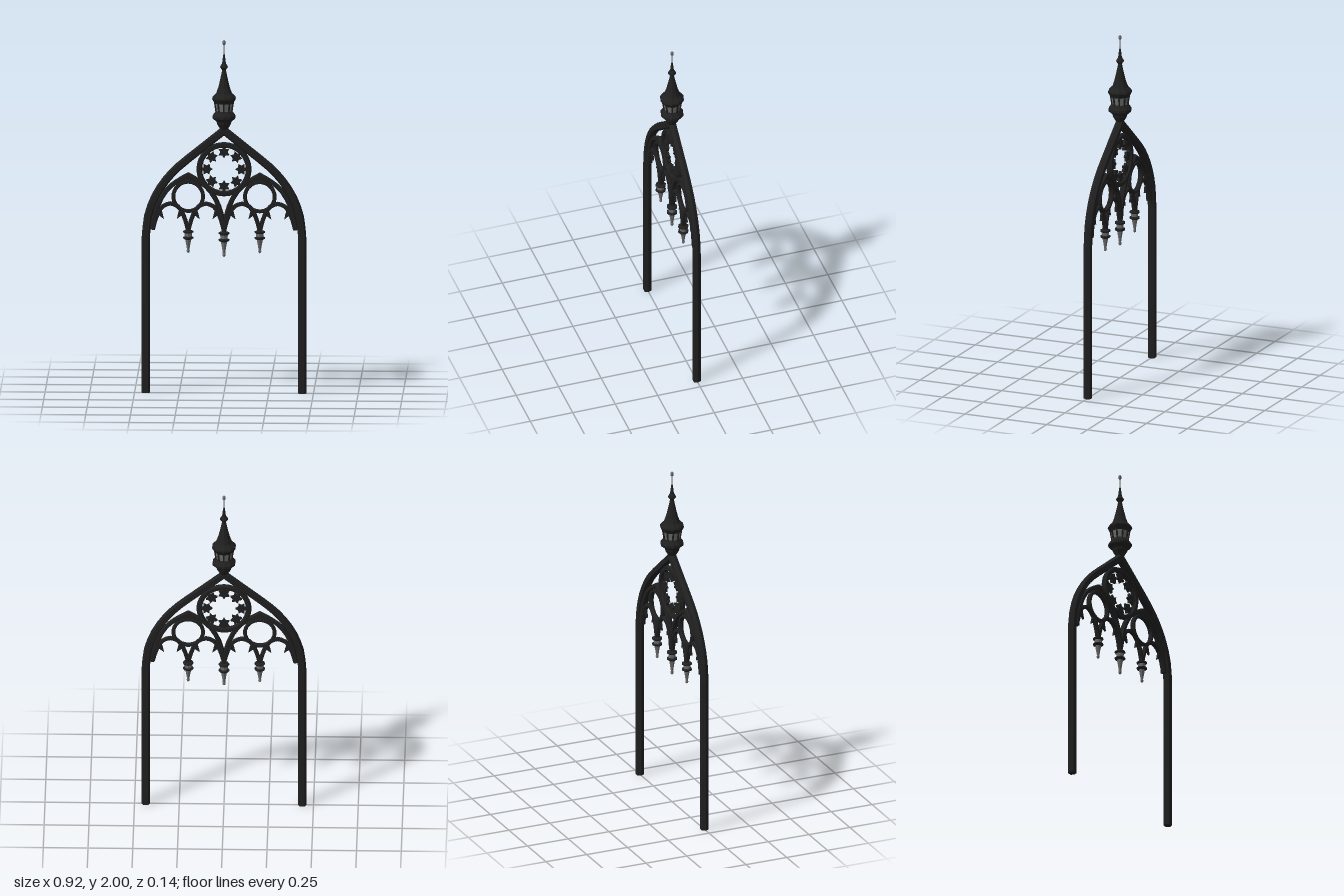
import * as THREE from 'three';

const iron = new THREE.MeshStandardMaterial({ color: 0x202020 });
iron.name = 'dark iron';
const stone = new THREE.MeshStandardMaterial({ color: 0x6c6c6c });
stone.name = 'grey stone';

function facet(geometry) {
  const g = geometry.index ? geometry.toNonIndexed() : geometry;
  g.computeVertexNormals();
  return g;
}

function add(parent, name, geometry, material = iron, x = 0, y = 0, z = 0) {
  const mesh = new THREE.Mesh(geometry, material);
  mesh.name = name;
  mesh.position.set(x, y, z);
  parent.add(mesh);
  return mesh;
}

// Bar with a six-sided section, mitred along a path in the xy plane
function bar(path, w, d, closed = false) {
  const section = [[w, 0], [w * 0.6, d], [-w * 0.6, d], [-w, 0], [-w * 0.6, -d], [w * 0.6, -d]];
  const n = path.length, s = section.length, pos = [], idx = [];
  path.forEach((p, i) => {
    const prev = path[closed ? (i + n - 1) % n : Math.max(i - 1, 0)];
    const next = path[closed ? (i + 1) % n : Math.min(i + 1, n - 1)];
    const a = (i || closed) ? p.clone().sub(prev).normalize() : next.clone().sub(p).normalize();
    const b = (i < n - 1 || closed) ? next.clone().sub(p).normalize() : a;
    const t = a.clone().add(b).normalize();
    const miter = 1 / Math.max(0.5, t.dot(a));
    for (const [u, z] of section) pos.push(p.x - t.y * u * miter, p.y + t.x * u * miter, z);
  });
  for (let i = 0; i < (closed ? n : n - 1); i++) {
    const k = (i + 1) % n;
    for (let j = 0; j < s; j++) {
      const m = (j + 1) % s;
      idx.push(i * s + j, i * s + m, k * s + m, i * s + j, k * s + m, k * s + j);
    }
  }
  if (!closed) {
    const e = (n - 1) * s;
    for (let j = 1; j < s - 1; j++) idx.push(0, j + 1, j, e, e + j, e + j + 1);
  }
  const g = new THREE.BufferGeometry();
  g.setAttribute('position', new THREE.Float32BufferAttribute(pos, 3));
  g.setIndex(idx);
  return facet(g);
}

// Symmetric arch: the right half runs from foot to crown, then is mirrored
function archPath(half, steps) {
  const right = new THREE.SplineCurve(half.map(([x, y]) => new THREE.Vector2(x, y))).getPoints(steps);
  const left = right.slice(0, -1).reverse().map(p => new THREE.Vector2(-p.x, p.y));
  return [...right, ...left];
}

function circlePath(r, count) {
  return Array.from({ length: count }, (_, i) => {
    const a = i / count * Math.PI * 2;
    return new THREE.Vector2(Math.cos(a) * r, Math.sin(a) * r);
  });
}

function lathe(profile, sides) {
  return facet(new THREE.LatheGeometry(profile.map(([r, y]) => new THREE.Vector2(r, y)), sides));
}

function plate(points, depth, holes = []) {
  const shape = new THREE.Shape(points.map(([x, y]) => new THREE.Vector2(x, y)));
  shape.holes.push(...holes);
  const g = new THREE.ExtrudeGeometry(shape, { depth, bevelEnabled: false });
  return g.translate(0, 0, -depth / 2);
}

// Hanging pendant with two collars and a tapering drop
function pendant(scale) {
  const g = new THREE.Group();
  g.name = 'pendant';
  add(g, 'pendantStem', lathe([[0, -0.05], [0.016, -0.05], [0.014, 0.01], [0.011, 0.05], [0, 0.05]], 8));
  for (const y of [0, -0.034]) {
    add(g, 'pendantCollar', lathe([[0, y - 0.009], [0.02, y - 0.009], [0.03, y - 0.003],
      [0.03, y + 0.004], [0.018, y + 0.009], [0, y + 0.009]], 8));
  }
  add(g, 'pendantBand', lathe([[0.02, -0.028], [0.022, -0.006]], 8), stone);
  add(g, 'pendantDrop', lathe([[0, -0.121], [0.007, -0.116], [0.009, -0.108], [0.007, -0.1],
    [0.012, -0.07], [0.018, -0.04], [0, -0.04]], 8), stone);
  g.scale.y = scale;
  return g;
}

export function createModel() {
  const model = new THREE.Group();
  model.name = 'gothicArch';

  // Posts and main arch as one continuous bar
  const main = archPath([[0.437, 0.88], [0.424, 1.0], [0.385, 1.11], [0.325, 1.205],
    [0.25, 1.285], [0.13, 1.383], [0, 1.488]], 12);
  main.unshift(new THREE.Vector2(0.437, 0));
  main.push(new THREE.Vector2(-0.437, 0));
  add(model, 'mainArch', bar(main, 0.023, 0.02));

  // Rose window with eight stars
  const rose = new THREE.Group();
  rose.name = 'roseWindow';
  rose.position.y = 1.268;
  model.add(rose);
  add(rose, 'roseRing', bar(circlePath(0.138, 32), 0.016, 0.016, true));
  const star = Array.from({ length: 12 }, (_, i) => {
    const a = i * Math.PI / 6, r = i % 2 ? 0.02 : 0.034;
    return [Math.cos(a) * r, Math.sin(a) * r];
  });
  for (let i = 0; i < 8; i++) {
    const a = i * Math.PI / 4;
    const m = add(rose, 'roseStar', plate(star, 0.016), iron, Math.cos(a) * 0.097, Math.sin(a) * 0.097);
    m.rotation.z = a;
  }

  // Two tracery bays
  const subArch = bar(archPath([[0.2, 0.925], [0.188, 1.0], [0.16, 1.085], [0.115, 1.155],
    [0.06, 1.2], [0, 1.235]], 9), 0.014, 0.015);
  const lowArch = bar(archPath([[0.098, 0.925], [0.085, 0.975], [0.065, 1.025],
    [0.038, 1.06], [0, 1.073]], 7), 0.012, 0.012);
  const ring = bar(circlePath(0.083, 28), 0.011, 0.013, true);
  for (const side of [-1, 1]) {
    const bay = new THREE.Group();
    bay.name = side > 0 ? 'leftBay' : 'rightBay';
    bay.position.x = side * 0.2;
    model.add(bay);
    add(bay, 'bayArch', subArch);
    add(bay, 'bayRing', ring, iron, 0, 1.113);
    add(bay, 'bayGusset', plate([[-0.045, 1.195], [0, 1.187], [0.045, 1.195], [0, 1.23]], 0.016));
    for (const x of [-0.1, 0.1]) {
      add(bay, 'cuspedArch', lowArch, iron, x);
      // Pointed cusps inside each small arch
      for (const s of [-1, 1]) {
        const cusp = [[0.073, 1.01], [0.058, 1.002], [0.036, 0.985], [0.043, 1.015], [0.052, 1.045]];
        const pts = cusp.map(([cx, cy]) => [cx * s, cy]);
        add(bay, 'cusp', plate(pts, 0.012), iron, x);
      }
    }
    const drop = pendant(1);
    drop.position.y = 0.913;
    bay.add(drop);
  }
  const middle = pendant(1.12);
  middle.position.y = 0.905;
  model.add(middle);

  // Crowning spire
  const spire = new THREE.Group();
  spire.name = 'spire';
  model.add(spire);
  add(spire, 'spireBase', lathe([[0, 1.485], [0.022, 1.495], [0.04, 1.525], [0.044, 1.54], [0.066, 1.558],
    [0.066, 1.572], [0.047, 1.598], [0, 1.6]], 10));
  add(spire, 'lantern', lathe([[0.044, 1.595], [0.052, 1.645]], 10), stone);
  for (let i = 0; i < 10; i++) {
    const a = i * Math.PI / 5;
    const post = add(spire, 'lanternPost', new THREE.BoxGeometry(0.008, 0.055, 0.008), iron,
      Math.sin(a) * 0.049, 1.62, Math.cos(a) * 0.049);
    post.rotation.order = 'YXZ';
    post.rotation.set(0.16, a, 0);
  }
  add(spire, 'spireRoof', lathe([[0, 1.64], [0.054, 1.642], [0.069, 1.668], [0.066, 1.678], [0.046, 1.698],
    [0.034, 1.73], [0.024, 1.77], [0.015, 1.81], [0.011, 1.832], [0.023, 1.846], [0.02, 1.854],
    [0.011, 1.868], [0.007, 1.9], [0.003, 1.925], [0, 1.925]], 10));
  add(spire, 'spireNeedle', lathe([[0.003, 1.92], [0.0015, 1.975]], 6), stone);
  add(spire, 'finialBead', lathe([[0, 1.967], [0.008, 1.975], [0.01, 1.984], [0.007, 1.994], [0, 2.0]], 8), stone);

  return model;
}
